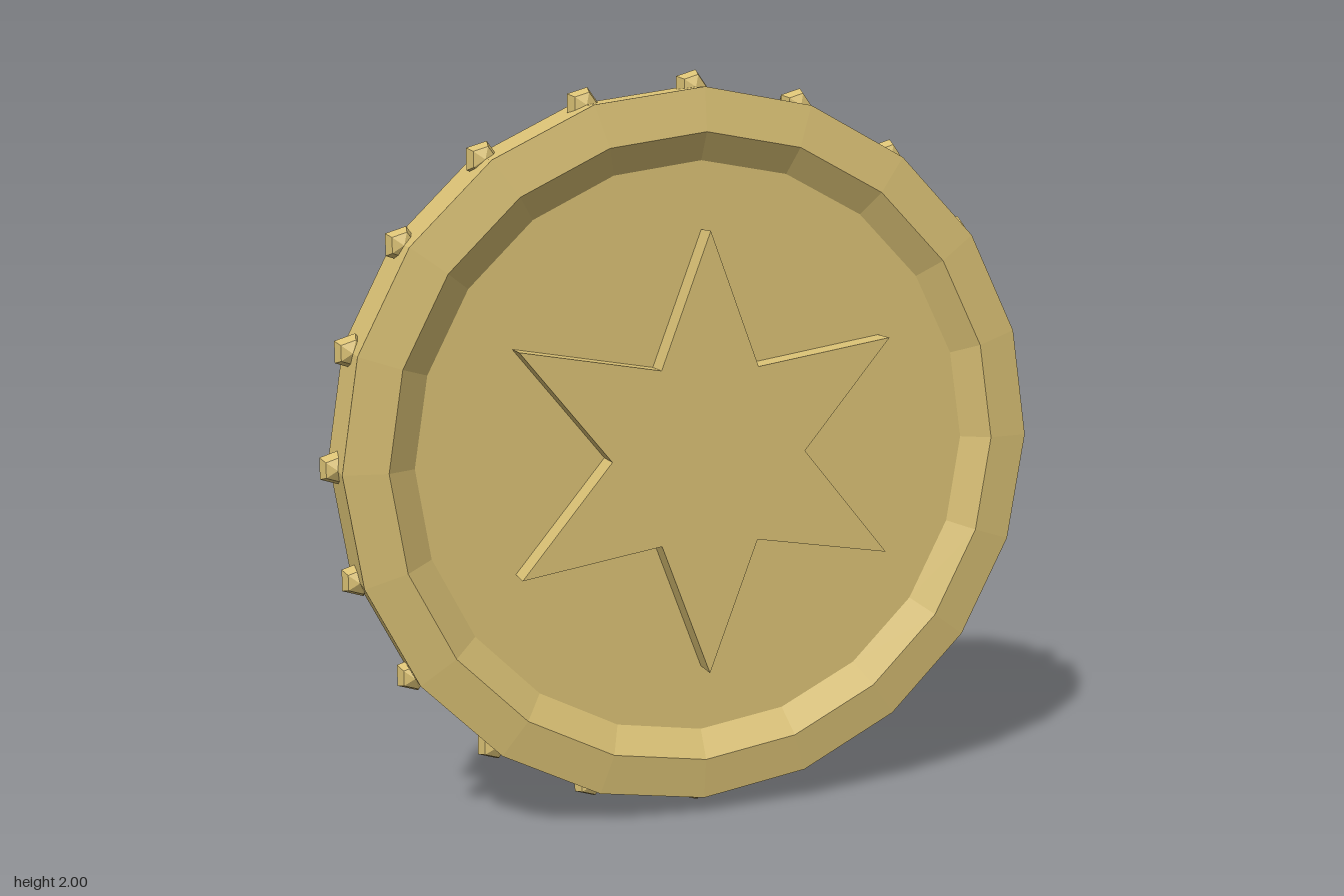
import * as THREE from 'three';

const SIDES = 20;
const RIM_RADIUS = 0.954;
const STUD_RADIUS = 0.048;

export function createModel() {
  const model = new THREE.Group();
  model.name = 'coin';
  const gold = new THREE.MeshStandardMaterial({ color: 0xd9c074, flatShading: true });
  gold.name = 'gold';

  const add = (geometry, name, parent) => {
    const mesh = new THREE.Mesh(geometry, gold);
    mesh.name = name;
    parent.add(mesh);
    return mesh;
  };

  // all parts are built around the coin's centre
  const coin = new THREE.Group();
  coin.name = 'coinParts';
  coin.position.set(-0.0046, 1, 0);
  model.add(coin);

  // disc with a raised rim and a dished face on both sides
  const half = [[0, 0.088], [0.767, 0.088], [0.84, 0.132], [RIM_RADIUS, 0.117]];
  const profile = [
    ...half.map(([r, h]) => new THREE.Vector2(r, -h)),
    ...half.slice().reverse().map(([r, h]) => new THREE.Vector2(r, h)),
  ];
  add(new THREE.LatheGeometry(profile, SIDES).rotateX(Math.PI / 2), 'disc', coin);

  // six-pointed star standing proud of both faces
  const points = [];
  for (let i = 0; i < 12; i++) {
    const a = Math.PI / 2 + (i * Math.PI) / 6;
    const r = i % 2 ? 0.268 : 0.589;
    points.push(new THREE.Vector2(r * Math.cos(a), r * Math.sin(a)));
  }
  const starGeometry = new THREE.ExtrudeGeometry(new THREE.Shape(points), {
    depth: 0.324, bevelEnabled: false,
  }).translate(0, 0, -0.162);
  add(starGeometry, 'star', coin);

  // faceted studs at the corners of the rim, all facing the same way
  const studs = new THREE.Group();
  studs.name = 'studs';
  coin.add(studs);
  const studGeometry = new THREE.SphereGeometry(STUD_RADIUS, 5, 4)
    .rotateY(Math.PI).rotateX(Math.PI / 2);
  for (let i = 0; i < SIDES; i++) {
    const a = (i / SIDES) * Math.PI * 2;
    add(studGeometry, 'stud', studs)
      .position.set(RIM_RADIUS * Math.cos(a), RIM_RADIUS * Math.sin(a), 0);
  }

  return model;
}
